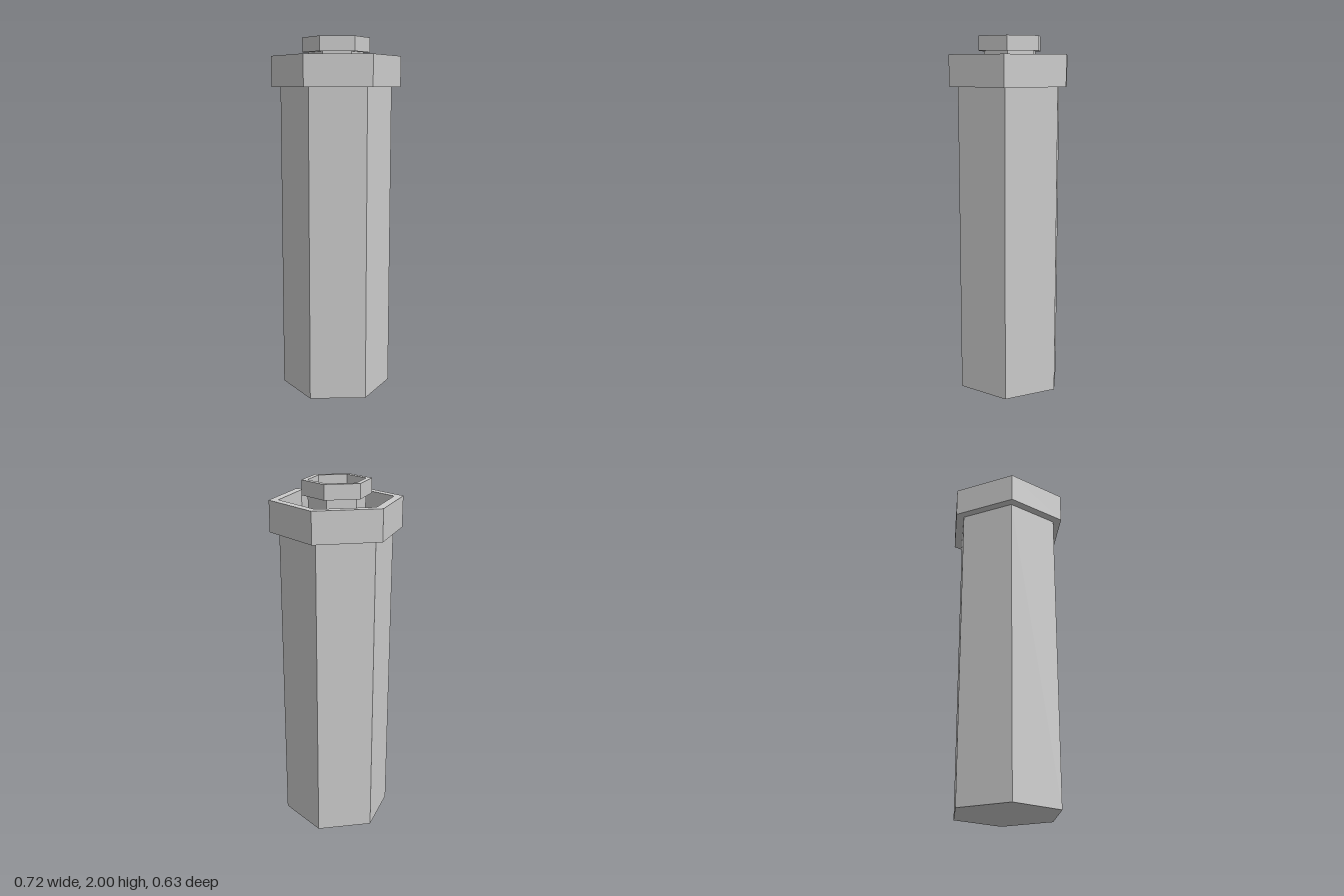
import * as THREE from 'three';

const material = new THREE.MeshStandardMaterial({ color: 0xcccccc, flatShading: true });

// Six-sided turned solid with corners on the x axis; profile of [radius, y] runs up the outside
function hexTurned(name, profile) {
  const points = profile.map(([r, y]) => new THREE.Vector2(r, y));
  const geometry = new THREE.LatheGeometry(points, 6, Math.PI / 2).toNonIndexed();
  geometry.computeVertexNormals();
  const mesh = new THREE.Mesh(geometry, material);
  mesh.name = name;
  return mesh;
}

// Open hexagonal rim: underside, outer wall, top edge, inner wall
function rim(name, outer, inner, bottom, top) {
  return hexTurned(name, [
    [inner, bottom], [outer, bottom], [outer, top], [inner, top], [inner, bottom],
  ]);
}

export function createModel() {
  const group = new THREE.Group();
  group.name = 'hexagonalColumn';

  const bodyR = 0.311, collarR = 0.362, neckR = 0.156, cupR = 0.188;
  const shoulderY = 1.73, collarTop = 1.9, neckTop = 1.92, cupTop = 2;

  // Long shaft, closed below, with a gently raised floor inside the collar
  group.add(hexTurned('shaft', [
    [0, 0], [bodyR, 0], [bodyR, shoulderY], [0.257, shoulderY], [neckR, shoulderY + 0.012],
  ]));

  // Wide collar around the top of the shaft
  group.add(rim('collar', collarR, bodyR, shoulderY, collarTop));

  // Narrow neck rising from the collar, its top forming the cup floor
  group.add(hexTurned('neck', [
    [neckR, shoulderY + 0.012], [neckR, neckTop], [0, neckTop],
  ]));

  // Small cup rim on the neck
  group.add(rim('cupRim', cupR, neckR, neckTop, cupTop));

  return group;
}
